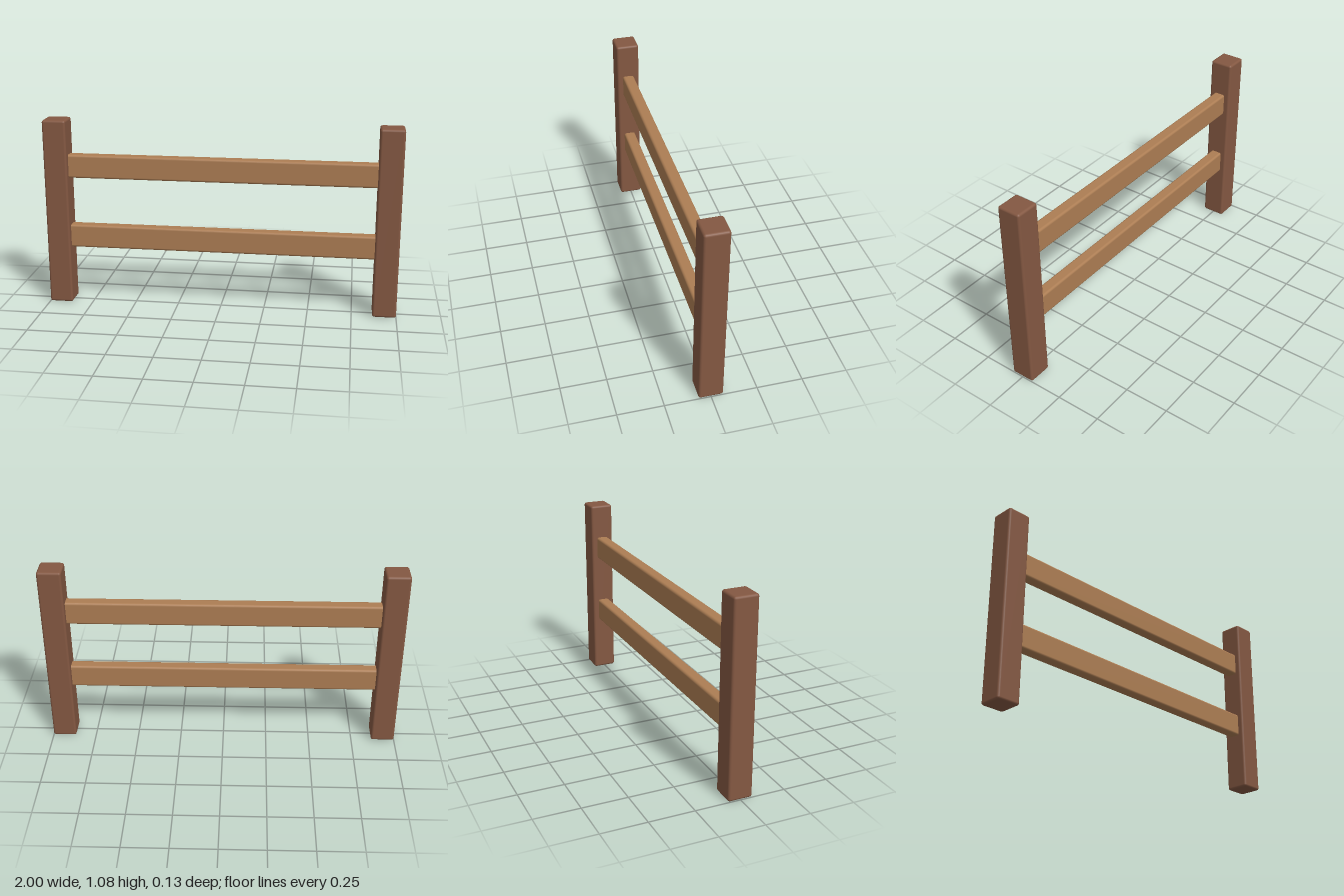
import * as THREE from 'three';
import { RoundedBoxGeometry } from 'three/addons/geometries/RoundedBoxGeometry.js';

export function createModel() {
  const postWood = new THREE.MeshStandardMaterial({ color: 0x845842 });
  postWood.name = 'dark post wood';
  const railWood = new THREE.MeshStandardMaterial({ color: 0xac7d53 });
  railWood.name = 'light rail wood';

  const model = new THREE.Group();
  model.name = 'fence';

  // Beam with slightly softened edges
  function addBeam(name, size, position, material) {
    const mesh = new THREE.Mesh(new RoundedBoxGeometry(...size, 2, 0.013), material);
    mesh.name = name;
    mesh.position.set(...position);
    model.add(mesh);
  }

  // Upright posts, mirrored at both ends
  const postWidth = 0.134, postHeight = 1.075;
  for (const [name, side] of [['leftPost', 1], ['rightPost', -1]]) {
    addBeam(name, [postWidth, postHeight, postWidth],
      [side * (1 - postWidth / 2), postHeight / 2, 0], postWood);
  }

  // Horizontal rails, let into the posts
  for (const [name, y] of [['lowerRail', 0.396], ['upperRail', 0.807]]) {
    addBeam(name, [1.86, 0.134, 0.067], [0, y, 0], railWood);
  }

  return model;
}
